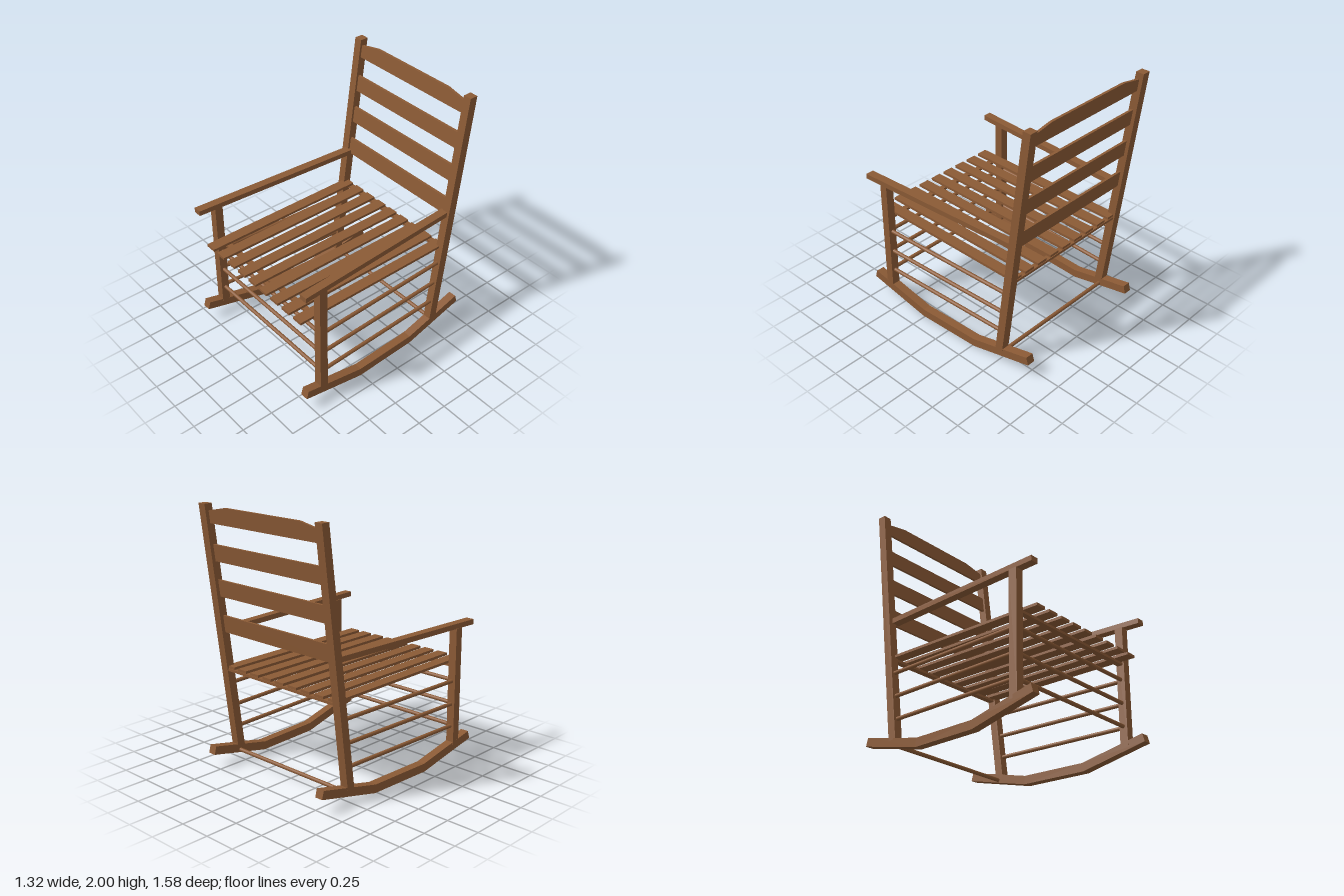
import * as THREE from 'three';

const wood = new THREE.MeshStandardMaterial({ color: 0x8b5a35 });
const SHIFT = -0.006;   // frame sits slightly off the centre line
const T = 0.065;        // frame timber thickness

// half-width of the frame at depth z (it narrows towards the back)
const half = z => 0.59 + 0.04 * z;
// centre line of the raked back at height y
const rake = y => -0.51 - (y - 0.12) * 0.1287;

export function createModel() {
  const model = new THREE.Group();

  function add(name, geometry) {
    const mesh = new THREE.Mesh(geometry, wood);
    mesh.name = name;
    model.add(mesh);
    return mesh;
  }

  // move every vertex by a rule, then refresh the flat normals
  function bend(geometry, rule) {
    const p = geometry.attributes.position;
    const v = new THREE.Vector3();
    for (let i = 0; i < p.count; i++) {
      rule(v.fromBufferAttribute(p, i));
      p.setXYZ(i, v.x, v.y, v.z);
    }
    geometry.computeVertexNormals();
    return geometry;
  }

  // side profile of [z, y] points given a width in x, following xAt(z)
  function beam(name, profile, width, xAt) {
    const shape = new THREE.Shape(profile.map(([z, y]) => new THREE.Vector2(-z, y)));
    const g = new THREE.ExtrudeGeometry(shape, { depth: width, bevelEnabled: false });
    g.translate(0, 0, -width / 2).rotateY(Math.PI / 2);
    add(name, bend(g, v => { v.x += xAt(v.z); }));
  }

  const rect = (z0, z1, y0, y1) => [[z0, y0], [z1, y0], [z1, y1], [z0, y1]];

  // round rod between two points
  function rod(name, a, b) {
    const from = new THREE.Vector3(...a), to = new THREE.Vector3(...b);
    const dir = to.clone().sub(from);
    const mesh = add(name, new THREE.CylinderGeometry(0.015, 0.015, dir.length(), 16));
    mesh.position.copy(from).add(to).multiplyScalar(0.5);
    mesh.quaternion.setFromUnitVectors(new THREE.Vector3(0, 1, 0), dir.normalize());
  }

  const rodHeights = [0.267, 0.445, 0.627];

  for (const [side, s] of [['left', 1], ['right', -1]]) {
    const frameX = z => s * half(z) + SHIFT;

    // rocker: flat middle with two upswept ends
    beam(side + 'Rocker', [
      [0.79, 0.12], [0.265, 0], [-0.265, 0], [-0.785, 0.12],
      [-0.768, 0.182], [-0.26, 0.065], [0.26, 0.065], [0.772, 0.182],
    ], T, frameX);

    // upright front leg, raked back post
    beam(side + 'FrontLeg', rect(0.59, 0.655, 0.12, 1.042), T, () => frameX(0.62));
    beam(side + 'BackPost',
      [[-0.475, 0.1], [-0.542, 0.11], [-0.785, 2], [-0.72, 2]], T, () => frameX(-0.5));

    // armrest, closer together at the back
    beam(side + 'Armrest',
      [[0.788, 1.04], [-0.603, 1.04], [-0.608, 1.08], [0.788, 1.08]], T,
      z => s * (0.58 + 0.059 * z));

    // side rods from leg to post
    for (const y of rodHeights) {
      rod(side + 'SideRod', [frameX(0.62), y, 0.62], [frameX(-0.5), y, rake(y)]);
    }
  }

  // rods across the front, and one between the rockers at the back
  for (const y of rodHeights) {
    rod('frontRod', [-half(0.62) + SHIFT, y, 0.62], [half(0.62) + SHIFT, y, 0.62]);
  }
  rod('backRod', [-0.56 + SHIFT, 0.08, -0.52], [0.56 + SHIFT, 0.08, -0.52]);

  // seat bearers and slats
  beam('frontSeatBar', rect(0.6, 0.643, 0.736, 0.755), 1.19, () => SHIFT);
  beam('backSeatBar', rect(-0.615, -0.57, 0.736, 0.755), 1.1, () => SHIFT);
  for (let i = -4; i <= 4; i++) {
    beam('seatSlat', rect(-0.61, 0.76, 0.755, 0.775), 0.087, () => i * 0.1305 + SHIFT);
  }

  // back slats, leaning with the posts; the top one has sloped shoulders
  for (const [y0, y1, shoulder] of [
    [1.04, 1.17, 0], [1.315, 1.442, 0], [1.58, 1.705, 0], [1.858, 1.985, 0.037],
  ]) {
    const w = 0.55;
    const shape = new THREE.Shape([
      [-w, y0], [w, y0], [w, y1 - shoulder], [0.365, y1], [-0.365, y1], [-w, y1 - shoulder],
    ].map(p => new THREE.Vector2(...p)));
    const g = new THREE.ExtrudeGeometry(shape, { depth: 0.02, bevelEnabled: false });
    add(shoulder ? 'topBackSlat' : 'backSlat', bend(g, v => {
      v.x += SHIFT;
      v.z += rake(v.y) - 0.005;
    }));
  }

  return model;
}
